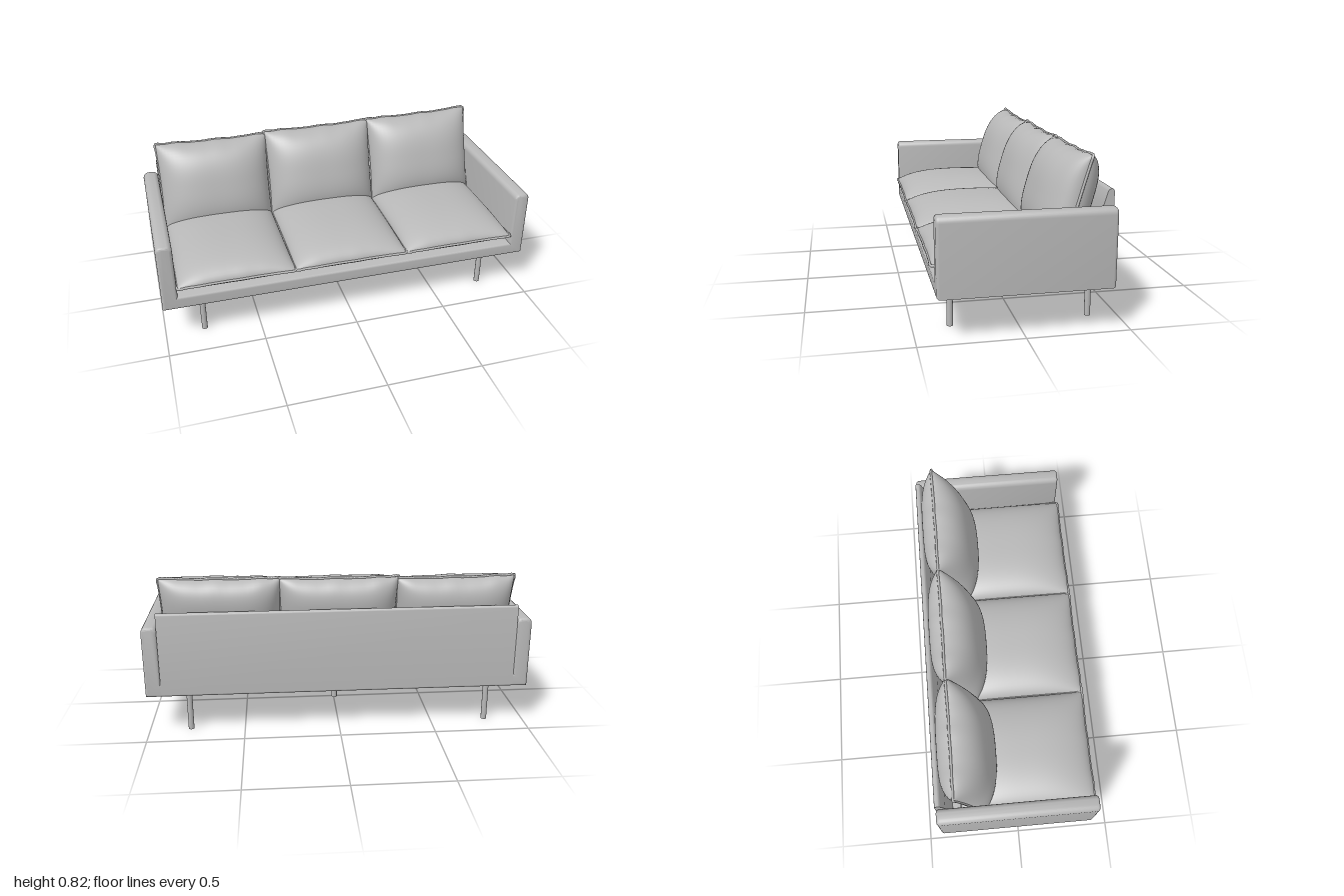
import * as THREE from 'three';
import { toCreasedNormals } from 'three/addons/utils/BufferGeometryUtils.js';

const fabric = new THREE.MeshStandardMaterial({ color: 0xb8b8b8 });
fabric.name = 'grey';

function add(parent, name, geometry, x = 0, y = 0, z = 0) {
  const mesh = new THREE.Mesh(geometry, fabric);
  mesh.name = name;
  mesh.position.set(x, y, z);
  parent.add(mesh);
  return mesh;
}

// Pillow lying in the xz plane: two domed sheets that meet at a piped seam.
// up / down give the bulge on each side, pinch pulls the middle of each edge inward.
function makePillow(name, { width, depth, up, down, power, pinch, wobble }) {
  const group = new THREE.Group();
  group.name = name;
  const n = 32;
  const ripple = (t) => wobble * (Math.sin(t * 9 + 1) + 0.6 * Math.sin(t * 17));
  const outline = (u, v) => [
    (width / 2) * u * (1 - pinch * (1 - v * v)),
    (depth / 2) * v * (1 - pinch * (1 - u * u)) + ripple(u) * v * v * v,
  ];
  for (const side of [1, -1]) {
    const height = side > 0 ? up : down;
    const pos = [], index = [];
    for (let j = 0; j <= n; j++) for (let i = 0; i <= n; i++) {
      const u = Math.sin((i / n - 0.5) * Math.PI), v = Math.sin((j / n - 0.5) * Math.PI);
      const p = side > 0 ? power : power + 1;
      const dome = Math.sqrt(Math.max(0, (1 - Math.abs(u) ** p) * (1 - Math.abs(v) ** p)));
      const [x, z] = outline(u, v);
      pos.push(x, side * height * dome, z);
      if (i < n && j < n) {
        const a = j * (n + 1) + i, b = a + 1, c = a + n + 1, d = c + 1;
        if (side > 0) index.push(a, c, b, b, c, d);
        else index.push(a, b, c, b, d, c);
      }
    }
    const g = new THREE.BufferGeometry();
    g.setAttribute('position', new THREE.Float32BufferAttribute(pos, 3));
    g.setIndex(index);
    g.computeVertexNormals();
    add(group, side > 0 ? 'pillowFace' : 'pillowUnderside', g);
  }
  // Piping along the seam
  const points = [];
  const corners = [[-1, -1], [1, -1], [1, 1], [-1, 1]];
  corners.forEach(([u0, v0], k) => {
    const [u1, v1] = corners[(k + 1) % 4];
    for (let s = 0; s < 12; s++) {
      const t = s / 12;
      const [x, z] = outline(u0 + (u1 - u0) * t, v0 + (v1 - v0) * t);
      points.push(new THREE.Vector3(x, 0, z));
    }
  });
  const path = new THREE.CatmullRomCurve3(points, true);
  add(group, 'piping', new THREE.TubeGeometry(path, 144, 0.007, 6, true));
  return group;
}

// U-shaped frame: both arms and the base in one bevelled extrusion
function frameGeometry() {
  const b = 0.016, r = 0.016;
  const outer = 1 - b, inner = 0.918 + b, low = 0.212 + b, deck = 0.285 - b, top = 0.59 - b;
  const s = new THREE.Shape();
  s.moveTo(-outer, low);
  s.lineTo(outer, low);
  s.lineTo(outer, top - r);
  s.quadraticCurveTo(outer, top, outer - r, top);
  s.lineTo(inner + r, top);
  s.quadraticCurveTo(inner, top, inner, top - r);
  s.lineTo(inner, deck);
  s.lineTo(-inner, deck);
  s.lineTo(-inner, top - r);
  s.quadraticCurveTo(-inner, top, -inner - r, top);
  s.lineTo(-outer + r, top);
  s.quadraticCurveTo(-outer, top, -outer, top - r);
  s.closePath();
  const g = new THREE.ExtrudeGeometry(s, {
    depth: 0.83 - 2 * b, bevelSize: b, bevelThickness: b, bevelSegments: 4, curveSegments: 6,
  });
  g.translate(0, 0, -0.422 + b);
  return toCreasedNormals(g, 0.6);
}

// Back board: side profile drawn as (z, y), swept along x
function backGeometry() {
  const s = new THREE.Shape();
  s.moveTo(-0.423, 0.225);
  s.lineTo(-0.345, 0.225);
  s.lineTo(-0.372, 0.585);
  s.lineTo(-0.391, 0.645);
  s.quadraticCurveTo(-0.396, 0.661, -0.408, 0.661);
  s.quadraticCurveTo(-0.423, 0.661, -0.423, 0.645);
  s.closePath();
  const g = new THREE.ExtrudeGeometry(s, { depth: 1.84, bevelEnabled: false, curveSegments: 6 });
  g.translate(0, 0, -0.92);
  g.rotateY(-Math.PI / 2);
  // The turn sends profile z to world z, and the sweep to -x
  return toCreasedNormals(g, 0.6);
}

export function createModel() {
  const sofa = new THREE.Group();
  sofa.name = 'sofa';

  add(sofa, 'armsAndBase', frameGeometry());
  add(sofa, 'backBoard', backGeometry());

  // Three seat cushions with three leaning back cushions
  [-0.612, -0.004, 0.604].forEach((x, i) => {
    const seat = makePillow('seatCushion', {
      width: 0.608, depth: 0.72, up: 0.105, down: 0.054, power: 2.6, pinch: 0.008, wobble: 0.001,
    });
    seat.position.set(x, 0.342, 0.058);
    sofa.add(seat);

    const back = makePillow('backCushion', {
      width: 0.615, depth: 0.5, up: 0.14, down: 0.115, power: 2.8, pinch: 0.025, wobble: 0.002,
    });
    // Stand the pillow up: its face turns to the front and tilts backward
    back.rotation.x = Math.PI / 2 - 0.28;
    back.rotation.y = i === 1 ? 0 : (1 - i) * -0.012;
    back.position.set(x, 0.556 + i * 0.008, -0.25);
    sofa.add(back);
  });

  // Four corner legs and one in the middle
  const leg = new THREE.CylinderGeometry(0.015, 0.015, 0.225, 16);
  for (const [x, z] of [[-0.795, 0.32], [0.785, 0.32], [-0.795, -0.357], [0.785, -0.357], [-0.004, -0.008]]) {
    add(sofa, 'leg', leg, x, 0.1125, z);
  }
  return sofa;
}
